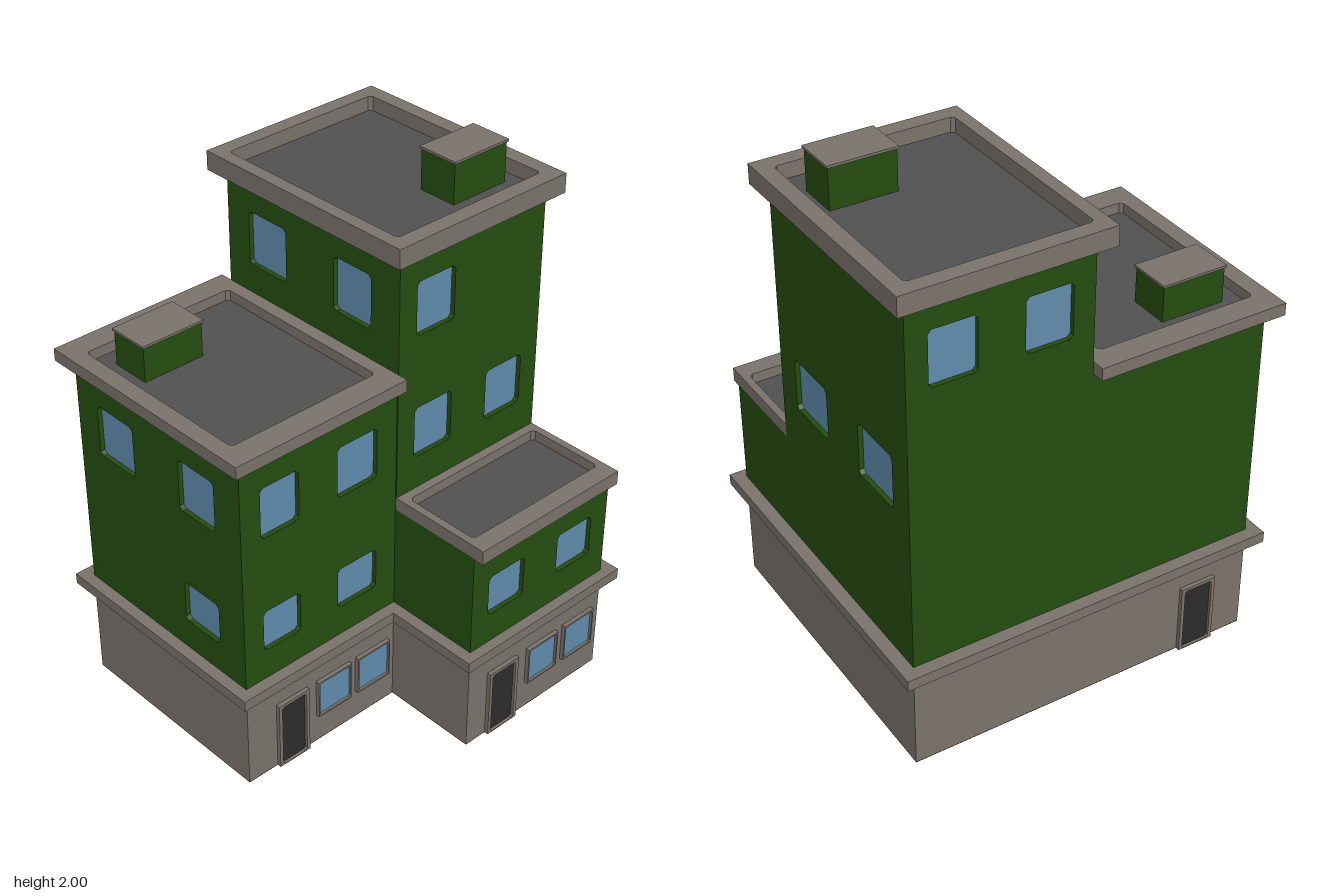
import * as THREE from 'three';

const mat = (name, color) => {
  const m = new THREE.MeshStandardMaterial({ color });
  m.name = name;
  return m;
};

// Polygon for a rectangle with clipped corners
function clipped(Kind, [a, b], [c, d], k = 0) {
  const p = new Kind();
  const pts = k
    ? [[a + k, c], [b - k, c], [b, c + k], [b, d - k], [b - k, d], [a + k, d], [a, d - k], [a, c + k]]
    : [[a, c], [b, c], [b, d], [a, d]];
  p.setFromPoints(pts.map(([x, y]) => new THREE.Vector2(x, y)));
  return p;
}

// Facing directions: rotation about y, and sign from the world axis to the panel axis
const FACING = {
  front: { angle: 0, sign: 1 },
  left: { angle: Math.PI / 2, sign: -1 },
  back: { angle: Math.PI, sign: -1 },
  right: { angle: -Math.PI / 2, sign: 1 },
};

export function createModel() {
  const green = mat('green wall', 0x254d10);
  const stone = mat('stone trim', 0x7a736b);
  const glass = mat('window glass', 0x608cad);
  const roofGrey = mat('roof grey', 0x515151);
  const doorDark = mat('door dark', 0x2c2c2c);
  const underside = mat('underside brown', 0x2d2210);

  const model = new THREE.Group();
  model.name = 'building';

  const add = (name, geometry, material) => {
    const mesh = new THREE.Mesh(geometry, material);
    mesh.name = name;
    model.add(mesh);
    return mesh;
  };

  const box = (name, material, [x0, x1], [y0, y1], [z0, z1]) =>
    add(name, new THREE.BoxGeometry(x1 - x0, y1 - y0, z1 - z0)
      .translate((x0 + x1) / 2, (y0 + y1) / 2, (z0 + z1) / 2), material);

  // Slab standing on a facade; from/to are distances outward from the facade plane
  function panel(name, material, side, plane, u, y, from, to, holes = [], clip = 0) {
    const { angle, sign } = FACING[side];
    const range = (r) => r.map((v) => v * sign).sort((a, b) => a - b);
    const shape = clipped(THREE.Shape, range(u), y, clip);
    for (const h of holes) shape.holes.push(clipped(THREE.Path, range(h.u), h.y, h.clip));
    const g = new THREE.ExtrudeGeometry(shape, { depth: to - from, bevelEnabled: false });
    g.translate(0, 0, from + Math.abs(plane)).rotateY(angle);
    return add(name, g, material);
  }

  // Green wall with recessed windows
  function wall(name, side, plane, u, y, windows = []) {
    const holes = windows.map(([wu, wy]) => ({ u: wu, y: wy, clip: 0.013 }));
    panel(name, green, side, plane, u, y, -0.03, 0, holes);
    for (const [wu, wy] of windows) panel('window', glass, side, plane, wu, wy, -0.025, -0.018);
  }

  // Parapet ring around a sunken roof
  function parapet(name, x, y, z, openX, openZ, floorY) {
    const flip = ([a, b]) => [-b, -a];
    const shape = clipped(THREE.Shape, x, flip(z));
    shape.holes.push(clipped(THREE.Path, openX, flip(openZ), 0.012));
    const g = new THREE.ExtrudeGeometry(shape, { depth: y[1] - y[0], bevelEnabled: false });
    add(name, g.rotateX(-Math.PI / 2).translate(0, y[0], 0), stone);
    box(name + ' roof', roofGrey, [openX[0] - 0.01, openX[1] + 0.01],
      [y[0] + 0.002, floorY], [openZ[0] - 0.01, openZ[1] + 0.01]);
  }

  function chimney(x, y, z) {
    box('chimney', green, x, y, z);
    box('chimney cap', stone, [x[0] - 0.005, x[1] + 0.005], [y[1], y[1] + 0.009],
      [z[0] - 0.005, z[1] + 0.005]);
  }

  function door(side, plane, [a, b]) {
    panel('door frame', stone, side, plane, [a, b], [0, 0.28], 0, 0.016,
      [{ u: [a + 0.014, b - 0.014], y: [0.004, 0.268], clip: 0.008 }]);
    panel('door', doorDark, side, plane, [a + 0.01, b - 0.01], [0.002, 0.272], 0, 0.005);
  }

  function shopWindow(plane, [a, b]) {
    panel('shop window frame', stone, 'front', plane, [a, b], [0.12, 0.278], 0, 0.016,
      [{ u: [a + 0.006, b - 0.006], y: [0.127, 0.271], clip: 0.005 }]);
    panel('shop window', glass, 'front', plane, [a + 0.004, b - 0.004], [0.124, 0.274], 0, 0.006);
  }

  // Storey heights of the windows
  const LOW = [0.55, 0.715], MID = [1.02, 1.22], TOP = [1.505, 1.71];

  // Stone ground floor, ledge and underside
  box('ground floor wing', stone, [-0.69, 0], [0.003, 0.39], [-0.61, 0.24]);
  box('ground floor main', stone, [0, 0.68], [0.003, 0.39], [-0.61, 0.62]);
  box('underside wing', underside, [-0.69, 0], [0, 0.003], [-0.61, 0.24]);
  box('underside main', underside, [0, 0.68], [0, 0.003], [-0.61, 0.62]);
  box('ledge wing', stone, [-0.735, -0.045], [0.388, 0.43], [-0.66, 0.285]);
  box('ledge main', stone, [-0.045, 0.73], [0.388, 0.43], [-0.66, 0.66]);

  // Wing walls
  const wingY = [0.43, 1.35];
  const wingCols = [[-0.605, -0.44], [-0.27, -0.09]];
  const sideCols = [[-0.5, -0.31], [-0.07, 0.11]];
  wall('wing front wall', 'front', 0.24, [-0.69, 0], wingY,
    wingCols.flatMap((u) => [[u, LOW], [u, MID]]));
  wall('wing side wall', 'right', -0.69, [-0.61, 0.24], wingY,
    [[sideCols[0], MID], [sideCols[1], MID], [sideCols[1], LOW]]);
  wall('wing back wall', 'back', -0.61, [-0.69, 0], wingY);

  // Tower walls
  const mainCols = [[0.08, 0.255], [0.425, 0.6]];
  wall('tower front wall', 'front', 0.245, [0, 0.68], [0.8, 1.83],
    [[mainCols[0], MID], [mainCols[1], MID], [mainCols[0], TOP]]);
  wall('tower outer wall', 'left', 0.68, [-0.61, 0.245], [0.43, 1.83],
    [[[-0.08, 0.14], MID], [[-0.51, -0.29], MID]]);
  wall('tower back wall', 'back', -0.61, [0, 0.68], [0.43, 1.83],
    mainCols.map((u) => [u, TOP]));
  wall('tower inner wall', 'right', 0, [-0.61, 0.245], [1.3, 1.83],
    sideCols.map((u) => [u, TOP]));

  // Low front block walls
  wall('front block wall', 'front', 0.62, [0, 0.68], [0.43, 0.84],
    mainCols.map((u) => [u, LOW]));
  wall('front block outer wall', 'left', 0.68, [0.245, 0.62], [0.43, 0.84]);
  wall('front block inner wall', 'right', 0, [0.24, 0.62], [0.43, 0.84]);

  // Roofs and chimneys
  parapet('wing parapet', [-0.735, 0], [1.345, 1.392], [-0.66, 0.285],
    [-0.67, -0.052], [-0.565, 0.187], 1.352);
  parapet('tower parapet', [-0.045, 0.728], [1.822, 1.895], [-0.66, 0.288],
    [0.005, 0.668], [-0.6, 0.225], 1.84);
  parapet('front block parapet', [0, 0.68], [0.835, 0.89], [0.24, 0.658],
    [0.03, 0.652], [0.28, 0.585], 0.85);
  chimney([-0.603, -0.357], [1.35, 1.485], [-0.49, -0.335]);
  chimney([0.365, 0.61], [1.83, 1.991], [-0.035, 0.12]);

  // Doors and shop windows
  door('front', 0.24, [-0.56, -0.42]);
  door('front', 0.62, [0.095, 0.24]);
  door('back', -0.61, [-0.555, -0.41]);
  for (const u of [[-0.375, -0.218], [-0.187, -0.03]]) shopWindow(0.24, u);
  for (const u of [[0.295, 0.448], [0.485, 0.64]]) shopWindow(0.62, u);

  return model;
}
